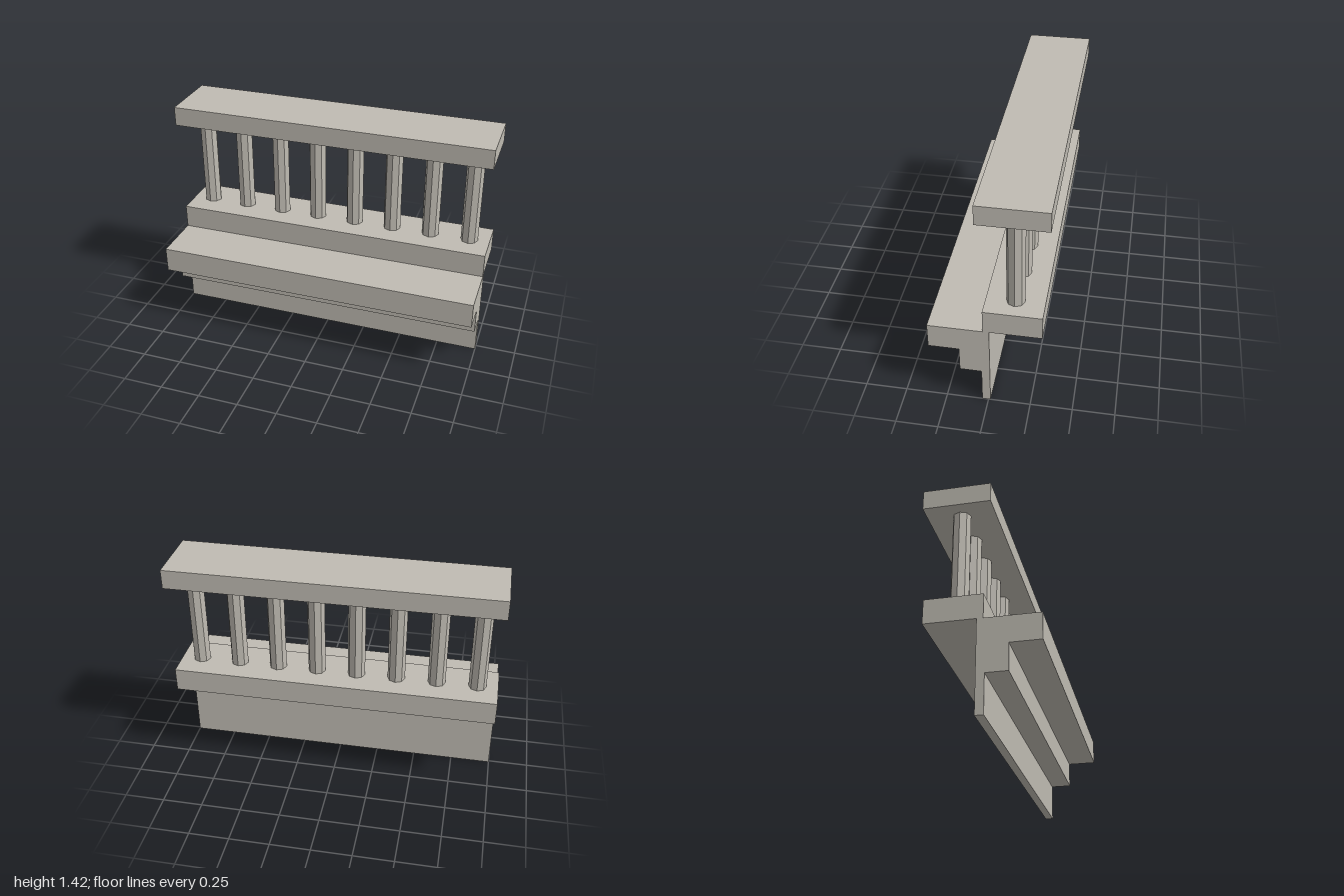
import * as THREE from 'three';

const LENGTH = 2;

export function createModel() {
  const model = new THREE.Group();
  const stone = new THREE.MeshStandardMaterial({ color: 0xbfbbb2 });
  stone.name = 'stone';
  const balusterStone = stone;

  const add = (name, geometry, parent = model) => {
    const mesh = new THREE.Mesh(geometry, stone);
    mesh.name = name;
    parent.add(mesh);
    return mesh;
  };

  // Full-length rail between two heights and two depths
  const addRail = (name, y0, y1, z0, z1) => {
    const rail = add(name, new THREE.BoxGeometry(LENGTH, y1 - y0, z1 - z0));
    rail.position.set(0, (y0 + y1) / 2, (z0 + z1) / 2);
  };

  // Wall and stepped cornice: one (z, y) profile extruded along x
  const profile = new THREE.Shape([
    [-0.012, 0], [0.037, 0], [0.037, 0.232], [0.165, 0.232],
    [0.165, 0.393], [0.345, 0.393], [0.345, 0.552], [-0.012, 0.552],
  ].map(([z, y]) => new THREE.Vector2(-z, y)));
  const cornice = new THREE.ExtrudeGeometry(profile, { depth: LENGTH, bevelEnabled: false });
  cornice.translate(0, 0, -LENGTH / 2).rotateY(Math.PI / 2);
  add('steppedCornice', cornice);

  addRail('bottomRail', 0.552, 0.70, -0.313, 0.025);
  addRail('topRail', 1.30, 1.42, -0.345, 0.055);

  // Eight evenly spaced octagonal balusters
  const balusters = new THREE.Group();
  balusters.name = 'balusters';
  model.add(balusters);
  const shaft = new THREE.CylinderGeometry(0.054, 0.054, 0.60, 8).toNonIndexed();
  shaft.computeVertexNormals();
  for (let i = 0; i < 8; i++) {
    const baluster = add('baluster', shaft, balusters);
    baluster.position.set((i - 3.5) * 0.2495, 1.0, -0.145);
    baluster.material = balusterStone;
  }

  return model;
}
